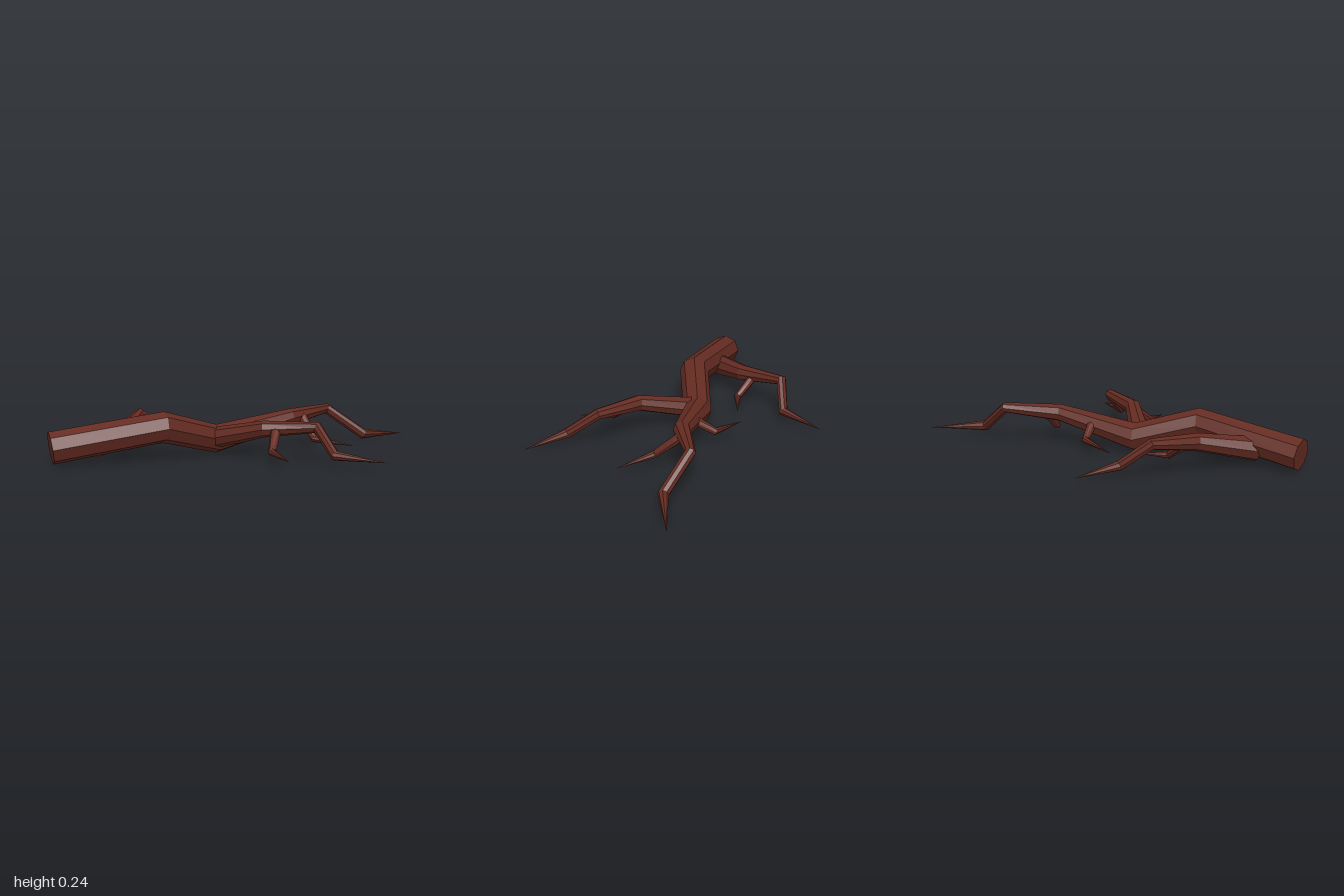
import * as THREE from 'three';

const SIDES = 8;

// Faceted tapering limb through points [x, y, z, radius]; radius 0 makes a pointed tip.
function limb(points) {
  const centres = points.map(([x, y, z]) => new THREE.Vector3(x, y, z));
  const last = centres.length - 1;
  const up = new THREE.Vector3(0, 1, 0);
  const pos = [];
  const index = [];
  centres.forEach((c, i) => {
    // each ring lies across the mean direction of its neighbouring segments
    const before = c.clone().sub(centres[Math.max(i - 1, 0)]).normalize();
    const after = centres[Math.min(i + 1, last)].clone().sub(c).normalize();
    const dir = before.add(after).normalize();
    const v = up.clone().addScaledVector(dir, -up.dot(dir)).normalize();
    const u = v.clone().cross(dir);
    for (let k = 0; k < SIDES; k++) {
      const a = (k / SIDES) * Math.PI * 2;
      const p = c.clone()
        .addScaledVector(u, Math.cos(a) * points[i][3])
        .addScaledVector(v, Math.sin(a) * points[i][3]);
      pos.push(p.x, p.y, p.z);
    }
  });
  for (let i = 0; i < last; i++) {
    for (let k = 0; k < SIDES; k++) {
      const a = i * SIDES + k;
      const b = i * SIDES + ((k + 1) % SIDES);
      index.push(a, b, b + SIDES);
      if (points[i + 1][3] > 0) index.push(a, b + SIDES, a + SIDES);
    }
  }
  // cut end
  for (let k = 1; k < SIDES - 1; k++) index.push(0, k + 1, k);
  const indexed = new THREE.BufferGeometry();
  indexed.setAttribute('position', new THREE.Float32BufferAttribute(pos, 3));
  indexed.setIndex(index);
  const geo = indexed.toNonIndexed();
  geo.computeVertexNormals();
  return geo;
}

const LIMBS = {
  mainBranch: [
    [-1, 0.09, 0.187, 0.082], [-0.44, 0.17, 0.147, 0.079], [-0.14, 0.08, 0, 0.074],
    [0.28, 0.165, -0.097, 0.046], [0.53, 0.185, -0.25, 0.028],
    [0.725, 0.045, -0.197, 0.028], [1, 0.02, -0.34, 0],
  ],
  frontBranch: [
    [-0.15, 0.09, 0.03, 0.055], [0.06, 0.16, 0.25, 0.042], [0.3, 0.175, 0.362, 0.029],
    [0.345, 0.058, 0.52, 0.026], [0.57, 0.035, 0.65, 0],
  ],
  backBranch: [
    [-0.77, 0.09, 0.15, 0.062], [-0.575, 0.145, -0.09, 0.045], [-0.49, 0.175, -0.345, 0.029],
    [-0.35, 0.06, -0.41, 0.026], [-0.26, 0.035, -0.65, 0],
  ],
  frontTwig: [
    [0.105, 0.15, 0.29, 0.026], [0.06, 0.065, 0.4, 0.02], [0.1, 0.045, 0.58, 0],
  ],
  backTwig: [
    [-0.55, 0.14, -0.16, 0.024], [-0.43, 0.06, -0.115, 0.019], [-0.265, 0.055, -0.18, 0],
  ],
  middleTwig: [
    [0.08, 0.13, -0.08, 0.026], [0.045, 0.07, -0.18, 0.02], [-0.17, 0.05, -0.245, 0],
  ],
  outerTwig: [
    [0.355, 0.17, -0.13, 0.026], [0.39, 0.06, 0.005, 0.02], [0.57, 0.035, 0.135, 0],
  ],
};

export function createModel() {
  const bark = new THREE.MeshStandardMaterial({ color: 0x642b21 });
  bark.name = 'bark';
  bark.flatShading = true;
  const group = new THREE.Group();
  group.name = 'fallenBranch';
  for (const [name, points] of Object.entries(LIMBS)) {
    const mesh = new THREE.Mesh(limb(points), bark);
    mesh.name = name;
    group.add(mesh);
  }
  return group;
}
